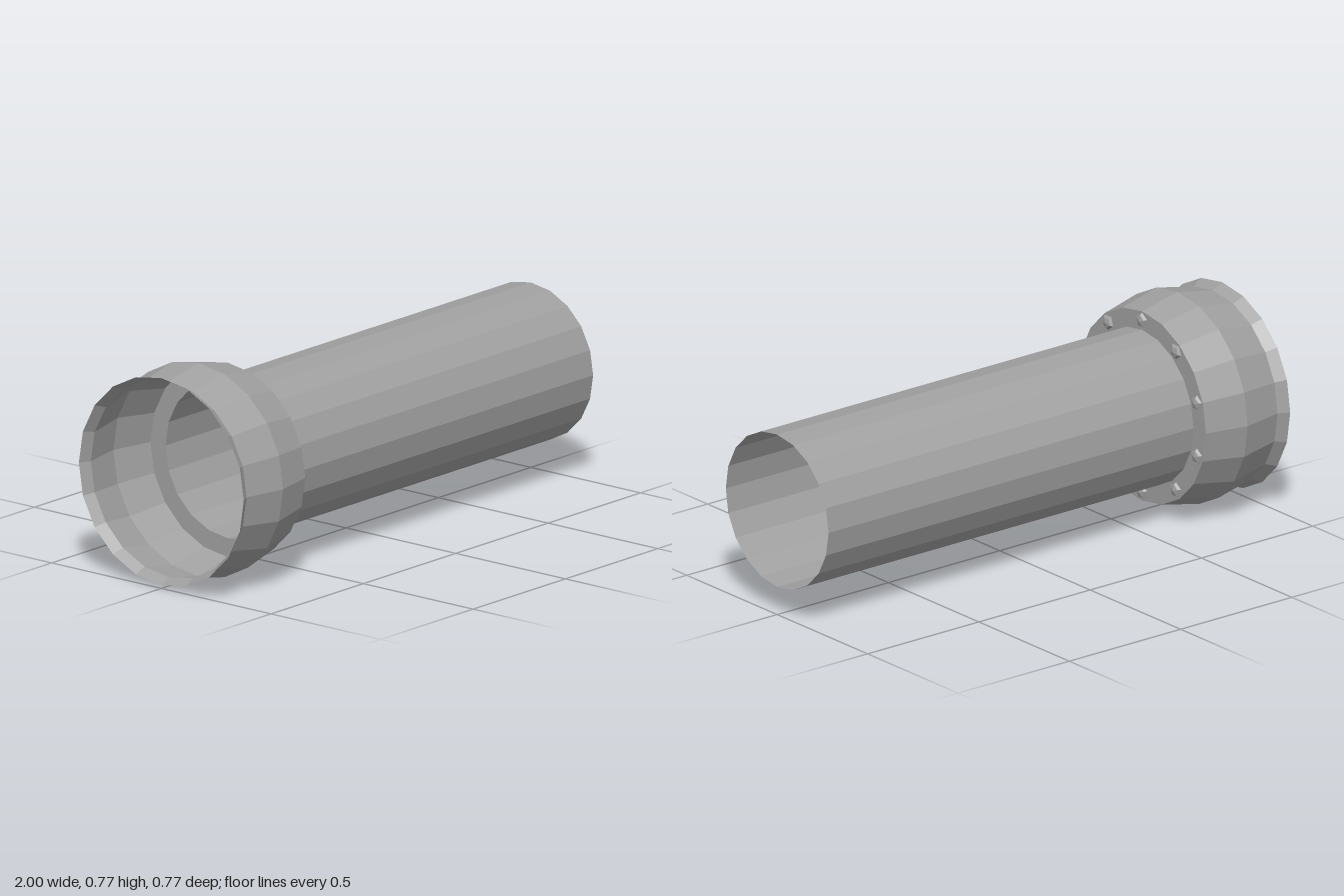
import * as THREE from 'three';

const SIDES = 20;
const AXIS_Y = 0.388;

// Revolve [x, radius] points around the x axis
function revolve(profile, sides) {
  const points = profile.map(([x, r]) => new THREE.Vector2(r, x));
  return new THREE.LatheGeometry(points, sides).rotateZ(-Math.PI / 2);
}

export function createModel() {
  const metal = new THREE.MeshStandardMaterial({
    color: 0xa0a0a0, flatShading: true, side: THREE.DoubleSide,
  });
  metal.name = 'grey metal';

  const model = new THREE.Group();
  model.name = 'pipe';

  const add = (name, geometry, parent = model) => {
    const mesh = new THREE.Mesh(geometry, metal);
    mesh.name = name;
    parent.add(mesh);
    return mesh;
  };

  // Long thin-walled tube, open at both ends
  add('tube', revolve([[-0.64, 0.284], [1, 0.284]], SIDES)).position.y = AXIS_Y;

  // Bulging socket with a flared lip
  add('socket', revolve([[-1, 0.376], [-0.96, 0.355], [-0.8, 0.387], [-0.64, 0.353]], SIDES)).position.y = AXIS_Y;

  // Flat shoulder joining socket and tube
  add('shoulder', revolve([[-0.64, 0.353], [-0.64, 0.284]], SIDES)).position.y = AXIS_Y;

  // Ring of ten faceted rivets on the shoulder
  const rivets = new THREE.Group();
  rivets.name = 'rivets';
  model.add(rivets);
  const rivetShape = revolve([[0, 0.029], [0.009, 0.021], [0.015, 0]], 5).rotateX(-Math.PI / 2);
  for (let i = 0; i < 10; i++) {
    const a = (i / 10) * Math.PI * 2;
    const rivet = add('rivet', rivetShape, rivets);
    rivet.position.set(-0.64, AXIS_Y + 0.319 * Math.cos(a), 0.319 * Math.sin(a));
    if (i === 1 || i === 9) rivet.rotation.x = Math.PI;
  }

  return model;
}
